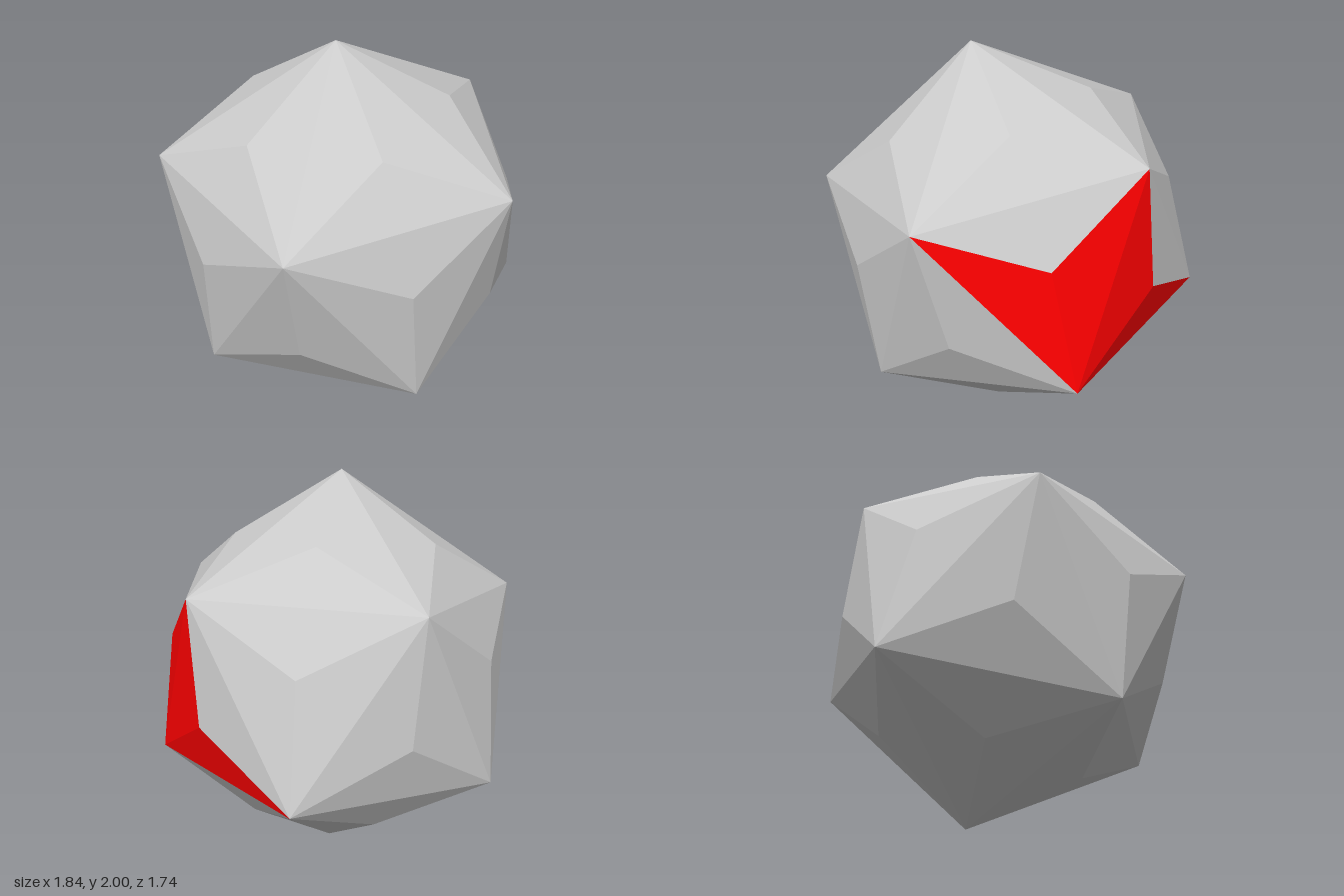
import * as THREE from 'three';

// Tilted icosahedron with a shallow pyramid raised on each of its 20 faces
const APEX = 1.0757; // pyramid tip distance relative to the face centre

export function createModel() {
  const group = new THREE.Group();
  group.name = 'facetedBall';

  // Tilted axis and a frame around it
  const axis = new THREE.Vector3(-0.1, 1, 0.165).normalize();
  const radius = 1 / axis.y;
  const u = new THREE.Vector3(-0.878, -0.308, 1.35).projectOnPlane(axis).normalize();
  const w = new THREE.Vector3().crossVectors(axis, u);

  // Two poles and two staggered rings of five corners
  const top = axis.clone().multiplyScalar(radius);
  const bottom = top.clone().negate();
  const ringCorner = (k, height) => {
    const t = k * Math.PI * 2 / 5;
    return axis.clone().multiplyScalar(height / Math.sqrt(5))
      .addScaledVector(u, 2 / Math.sqrt(5) * Math.cos(t))
      .addScaledVector(w, 2 / Math.sqrt(5) * Math.sin(t))
      .multiplyScalar(radius);
  };
  const upper = [], lower = [];
  for (let k = 0; k < 5; k++) {
    upper.push(ringCorner(k, 1));
    lower.push(ringCorner(k + 0.5, -1));
  }

  // Faces, corners counter-clockwise from outside
  const faces = [];
  for (let k = 0; k < 5; k++) {
    const n = (k + 1) % 5;
    faces.push(
      { corners: [top, upper[k], upper[n]] },
      { corners: [upper[k], lower[k], upper[n]], marked: k === 1 },
      { corners: [lower[k], lower[n], upper[n]], marked: k === 1 },
      { corners: [bottom, lower[n], lower[k]] }
    );
  }

  // Split each face into three facets; red ones touch one shared corner
  const grey = [], red = [];
  for (const { corners, marked } of faces) {
    const tip = new THREE.Vector3();
    corners.forEach((c) => tip.addScaledVector(c, APEX / 3));
    for (let i = 0; i < 3; i++) {
      const a = corners[i], b = corners[(i + 1) % 3];
      const isRed = marked && (a === lower[1] || b === lower[1]);
      (isRed ? red : grey).push(a, b, tip);
    }
  }

  const addFacets = (name, points, color) => {
    const geometry = new THREE.BufferGeometry().setFromPoints(points);
    geometry.translate(0, 1, 0);
    geometry.computeVertexNormals();
    const mesh = new THREE.Mesh(geometry, new THREE.MeshStandardMaterial({ color, flatShading: true }));
    mesh.name = name;
    group.add(mesh);
  };
  addFacets('greyFacets', grey, 0xcccccc);
  addFacets('redFacets', red, 0xff0000);

  return group;
}
